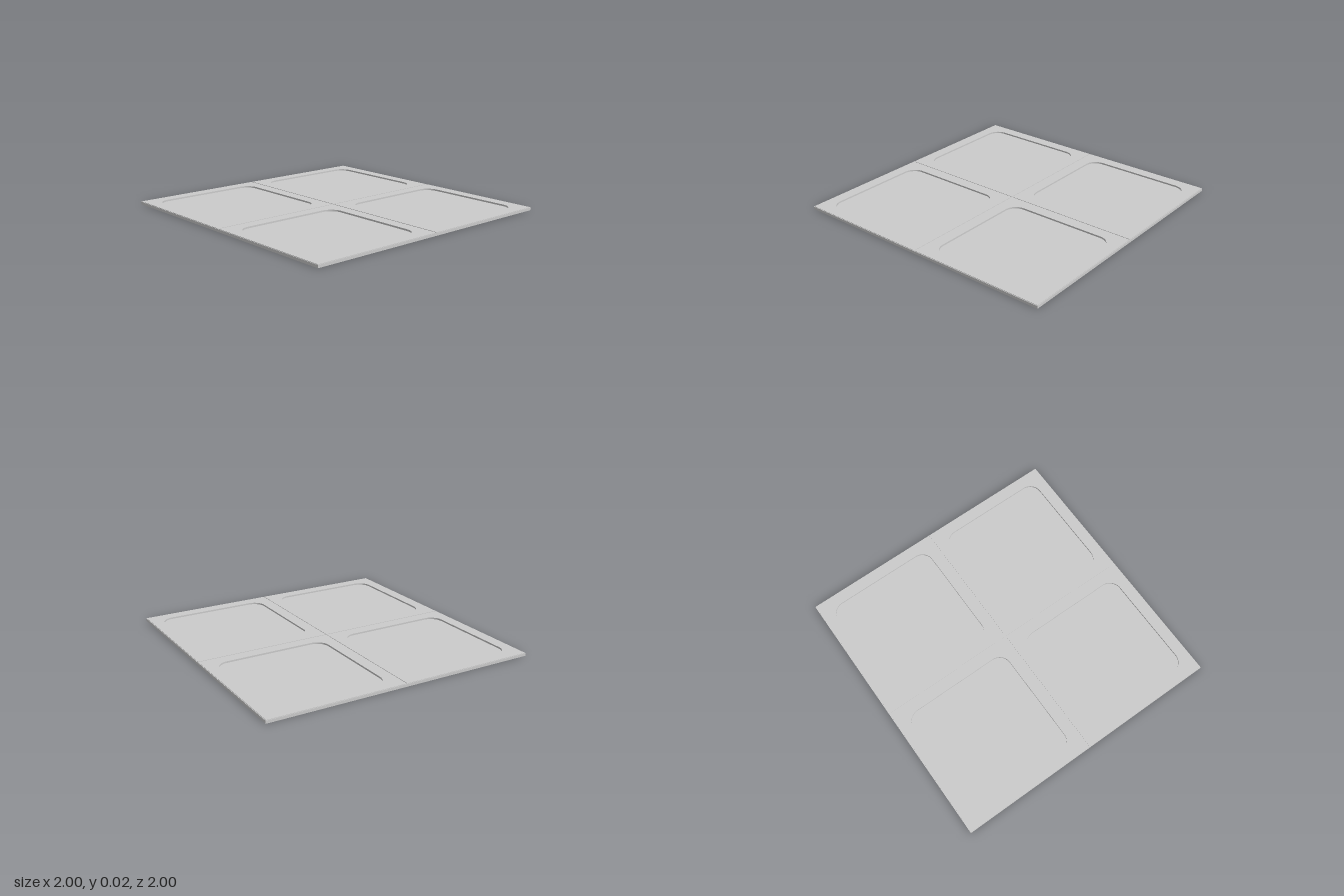
import * as THREE from 'three';

const MAT = new THREE.MeshStandardMaterial({ color: 0xcccccc, flatShading: true });
const TILES = [[-0.5, -0.5], [0.5, -0.5], [-0.5, 0.5], [0.5, 0.5]];
const FLOOR = 0.01, RIM = 0.019, TOP = 0.022;

// Trace a rounded square of half size h and corner radius r
function roundedSquare(path, cx, cy, h, r) {
  path.absarc(cx + h - r, cy + h - r, r, 0, Math.PI / 2);
  path.absarc(cx - h + r, cy + h - r, r, Math.PI / 2, Math.PI);
  path.absarc(cx - h + r, cy - h + r, r, Math.PI, Math.PI * 1.5);
  path.absarc(cx + h - r, cy - h + r, r, Math.PI * 1.5, Math.PI * 2);
  path.closePath();
  return path;
}

function square(cx, cy, h) {
  return new THREE.Shape([
    new THREE.Vector2(cx - h, cy - h), new THREE.Vector2(cx + h, cy - h),
    new THREE.Vector2(cx + h, cy + h), new THREE.Vector2(cx - h, cy + h),
  ]);
}

// Extrude a flat outline upward from y0 to y1
function layer(name, shape, y0, y1) {
  const geo = new THREE.ExtrudeGeometry(shape, { depth: y1 - y0, bevelEnabled: false, curveSegments: 8 });
  geo.rotateX(-Math.PI / 2).translate(0, y0, 0);
  const mesh = new THREE.Mesh(geo, MAT);
  mesh.name = name;
  return mesh;
}

const pocket = (x, y) => roundedSquare(new THREE.Path(), x, y, 0.413, 0.09);

export function createModel() {
  const model = new THREE.Group();
  model.name = 'panelPlate';

  // Solid slab, whose top is the floor of the pockets
  model.add(layer('baseSlab', square(0, 0, 1), 0, FLOOR));

  // Frame with the four pockets
  const frame = square(0, 0, 1);
  TILES.forEach(([x, y]) => frame.holes.push(pocket(x, y)));
  model.add(layer('frame', frame, FLOOR, RIM));

  // Slightly inset raised border of each tile, leaving fine seams
  TILES.forEach(([x, y]) => {
    const border = square(x, y, 0.496);
    border.holes.push(pocket(x, y));
    model.add(layer('tileBorder', border, RIM, TOP));
  });

  return model;
}
